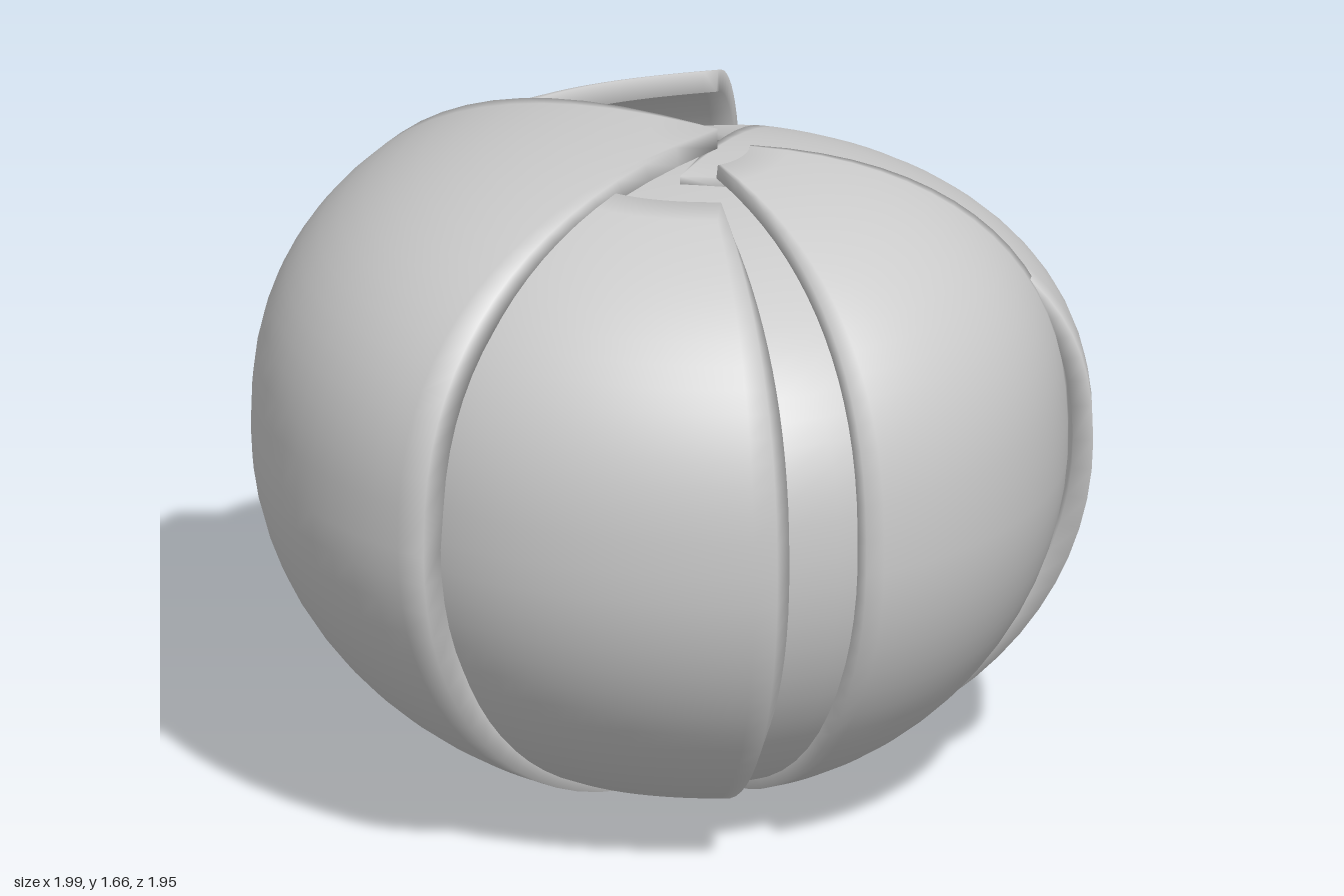
import * as THREE from 'three';
import { mergeGeometries, mergeVertices } from 'three/addons/utils/BufferGeometryUtils.js';

const MID = 0.88; // height of the widest ring
const material = new THREE.MeshStandardMaterial({ color: 0xcccccc, side: THREE.DoubleSide });

// Grid surface from a function of (u, v) in 0..1
function patch(nu, nv, fn) {
  const pos = [], index = [];
  for (let j = 0; j <= nv; j++)
    for (let i = 0; i <= nu; i++) pos.push(...fn(i / nu, j / nv));
  for (let j = 0; j < nv; j++)
    for (let i = 0; i < nu; i++) {
      const a = j * (nu + 1) + i, b = a + 1, c = a + nu + 1, d = c + 1;
      index.push(a, c, b, b, c, d);
    }
  const g = new THREE.BufferGeometry();
  g.setAttribute('position', new THREE.Float32BufferAttribute(pos, 3));
  g.setIndex(index);
  return g;
}

// Joins patches into one smooth skin
function skin(name, patches) {
  const g = mergeVertices(mergeGeometries(patches), 1e-5);
  g.computeVertexNormals();
  const mesh = new THREE.Mesh(g, material);
  mesh.name = name;
  return mesh;
}

// Point on a petal: u across, v from the bottom pole to the upper end, w from inner to outer skin
function petalPoint(p, u, v, w) {
  const { tuck = 0, bevel = 0, thick = 0 } = p;
  const end = Math.acos(Math.pow(p.hole, p.n / 2)); // angle where the open top stops
  const t = -Math.PI / 2 + (Math.PI / 2 + end) * v;
  const upper = t > 0, e = upper ? 2 / p.n : 1;
  const r = Math.pow(Math.max(Math.cos(t), 0), e);
  const y = upper ? p.rise * Math.pow(Math.sin(t), e) : p.drop * Math.sin(t);
  // below its top the first edge may tuck under the neighbour; the inner skin may reach further out
  const hidden = upper ? THREE.MathUtils.smoothstep(r, 0.67, 0.75) : 1;
  const from = p.from - tuck * hidden - bevel * (1 - w), to = p.to + bevel * (1 - w);
  const a = THREE.MathUtils.degToRad(from + (to - from) * u);
  const R = p.radius + (p.rFrom - p.radius) * (1 - u) ** 4 + (p.rTo - p.radius) * u ** 4;
  const k = 1 - thick * (1 - w);
  const [cx, cz] = upper ? p.apex : [0.05, 0];
  return [cx + (R * Math.cos(a) - cx) * r * k, MID + y * k, cz + (R * Math.sin(a) - cz) * r * k];
}

// Closed shell: outer and inner skin, two side edges and the top rim
function petal(p) {
  const at = (u, v, w) => petalPoint(p, u, v, w);
  const nu = 20, nv = 36;
  return skin(p.name, [
    patch(nu, nv, (u, v) => at(u, v, 1)),
    patch(nu, nv, (u, v) => at(1 - u, v, 0)),
    patch(1, nv, (w, v) => at(0, v, w)),
    patch(1, nv, (w, v) => at(1, v, 1 - w)),
    patch(1, nu, (w, u) => at(u, 1, w)),
  ]);
}

// Angles run from +x toward +z
const petals = [
  { name: 'rightOuterPetal', from: 153.7, to: 246.1, radius: 0.995, rFrom: 0.99, rTo: 1.06,
    apex: [0.1, 0.05], hole: 0, rise: 0.78, drop: 0.88, n: 2.5, thick: 0.065 },
  { name: 'backPetal', from: -118, to: -54, radius: 0.975, rFrom: 0.97, rTo: 1.09,
    apex: [0.05, 0], hole: 0.55, rise: 0.755, drop: 0.875, n: 2.5, thick: 0.06 },
  { name: 'leftPetal', from: -43, to: 30.4, radius: 0.995, rFrom: 0.97, rTo: 1.01, tuck: 17,
    apex: [0.05, -0.05], hole: 0, rise: 0.63, drop: 0.88, n: 2.5, thick: 0.05 },
  { name: 'frontLeftPetal', from: 28, to: 86.9, radius: 0.95, rFrom: 0.95, rTo: 0.93,
    apex: [0.05, 0], hole: 0.16, rise: 0.735, drop: 0.87, n: 2.5, thick: 0.05 },
  { name: 'frontRightPetal', from: 102.2, to: 166, radius: 0.92, rFrom: 0.99, rTo: 0.9, bevel: 3,
    apex: [0.05, 0], hole: 0.36, rise: 0.755, drop: 0.87, n: 2.4, thick: 0.08 },
];

export function createModel() {
  const group = new THREE.Group();
  petals.forEach((p) => group.add(petal(p)));

  // Closed heart seen through the gaps between petals
  const heart = { from: 0, to: 360, radius: 0.88, rFrom: 0.88, rTo: 0.88,
    apex: [0.05, 0], hole: 0, rise: 0.61, drop: 0.85, n: 2.4 };
  group.add(skin('innerBud', [patch(48, 32, (u, v) => petalPoint(heart, u, v, 1))]));
  return group;
}
